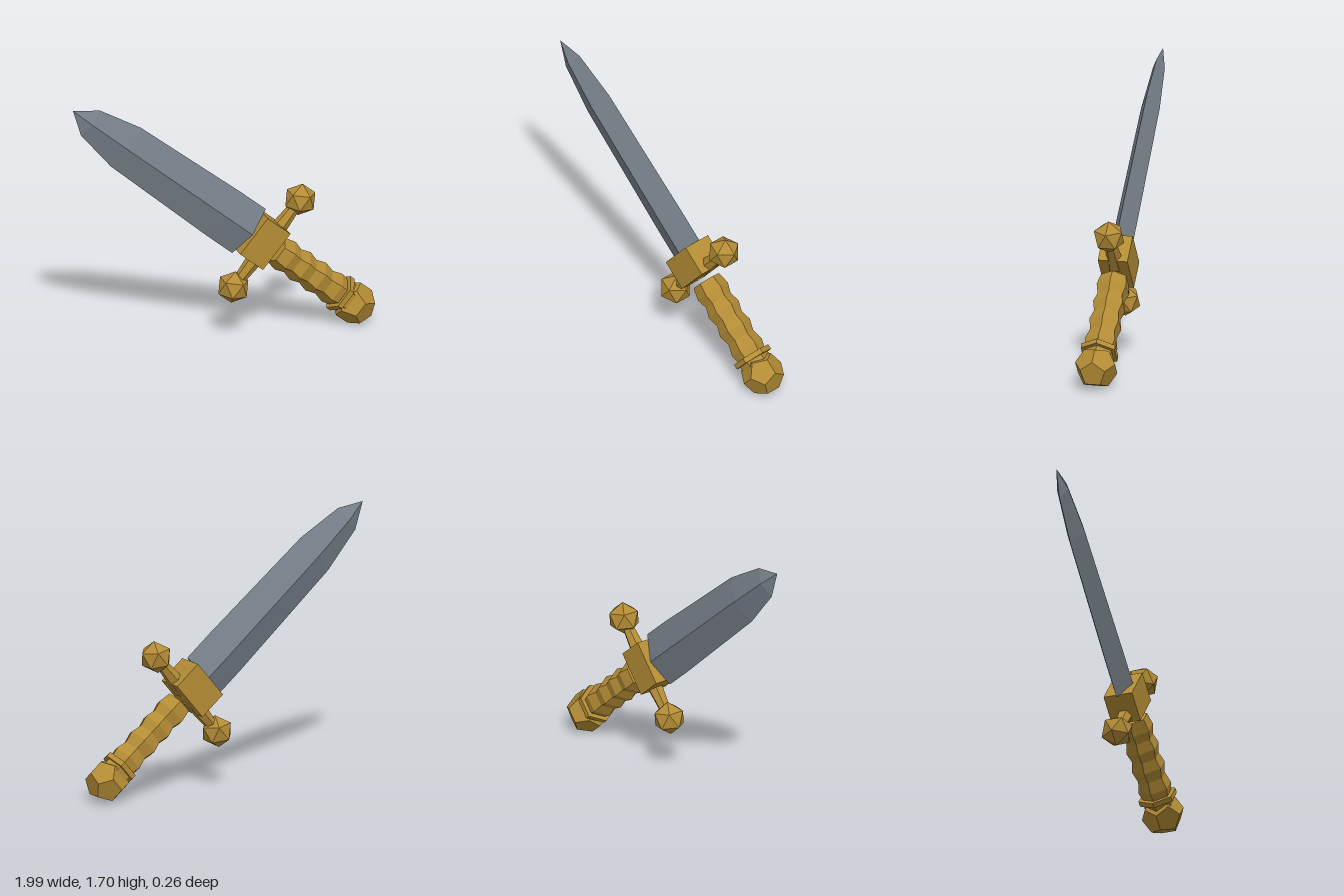
import * as THREE from 'three';

// Faceted copy of a geometry: one normal per face
function facet(geometry) {
  const g = geometry.index ? geometry.toNonIndexed() : geometry;
  g.computeVertexNormals();
  return g;
}

// Turned solid from [radius, height] pairs, bottom to top, with a corner on the x axis
function turned(profile, sides) {
  const points = profile.map(([r, y]) => new THREE.Vector2(r, y));
  return new THREE.LatheGeometry(points, sides, Math.PI / 2);
}

export function createModel() {
  const steel = new THREE.MeshStandardMaterial({ color: 0x79828b });
  steel.name = 'steel';
  const gold = new THREE.MeshStandardMaterial({ color: 0xb48c35 });
  gold.name = 'gold';

  // The dagger is built upright, with the base of the blade at the origin
  const dagger = new THREE.Group();
  dagger.name = 'dagger';

  function add(name, geometry, material, x = 0, y = 0, turn = 0) {
    const mesh = new THREE.Mesh(facet(geometry), material);
    mesh.name = name;
    mesh.position.set(x, y, 0);
    mesh.rotation.z = turn;
    dagger.add(mesh);
    return mesh;
  }

  // Blade: flattened diamond section narrowing to a point
  const blade = turned(
    [[0, 0], [0.174, 0], [0.174, 0.22], [0.154, 1.07], [0.099, 1.377], [0, 1.53]], 4);
  blade.scale(1, 1, 0.385);
  add('blade', blade, steel);

  // Guard: central block, two tapering arms and a faceted ball on each end
  add('guardBlock', new THREE.BoxGeometry(0.285, 0.197, 0.19), gold, 0, -0.098);
  for (const side of [1, -1]) {
    const arm = new THREE.CylinderGeometry(0.034, 0.058, 0.28, 6);
    add('guardArm', arm, gold, side * 0.18, -0.155, -side * Math.PI / 2);
    add('guardBall', new THREE.IcosahedronGeometry(0.105), gold, side * 0.347, -0.155, Math.PI / 2);
  }

  // Grip: six-sided, with four swellings
  const grip = [[0, -0.8], [0.09, -0.8]];
  const swellings = [-0.725, -0.58, -0.445, -0.315];
  swellings.forEach((y, i) => {
    grip.push([0.109, y]);
    if (i < 3) grip.push([0.09, (y + swellings[i + 1]) / 2]);
  });
  grip.push([0.093, -0.235], [0, -0.235]);
  add('grip', turned(grip, 6), gold);

  // Collar and pommel
  const collar = [[0, -0.85], [0.1, -0.85], [0.1, -0.811], [0.125, -0.811], [0.125, -0.777], [0, -0.777]];
  add('collar', turned(collar, 6), gold);
  add('pommel', new THREE.DodecahedronGeometry(0.137), gold, 0, -0.913, Math.PI / 2);

  // Lean the whole dagger towards the right
  dagger.rotation.z = THREE.MathUtils.degToRad(50);
  dagger.position.set(0.172, 0.72, 0);

  const model = new THREE.Group();
  model.name = 'model';
  model.add(dagger);
  return model;
}
